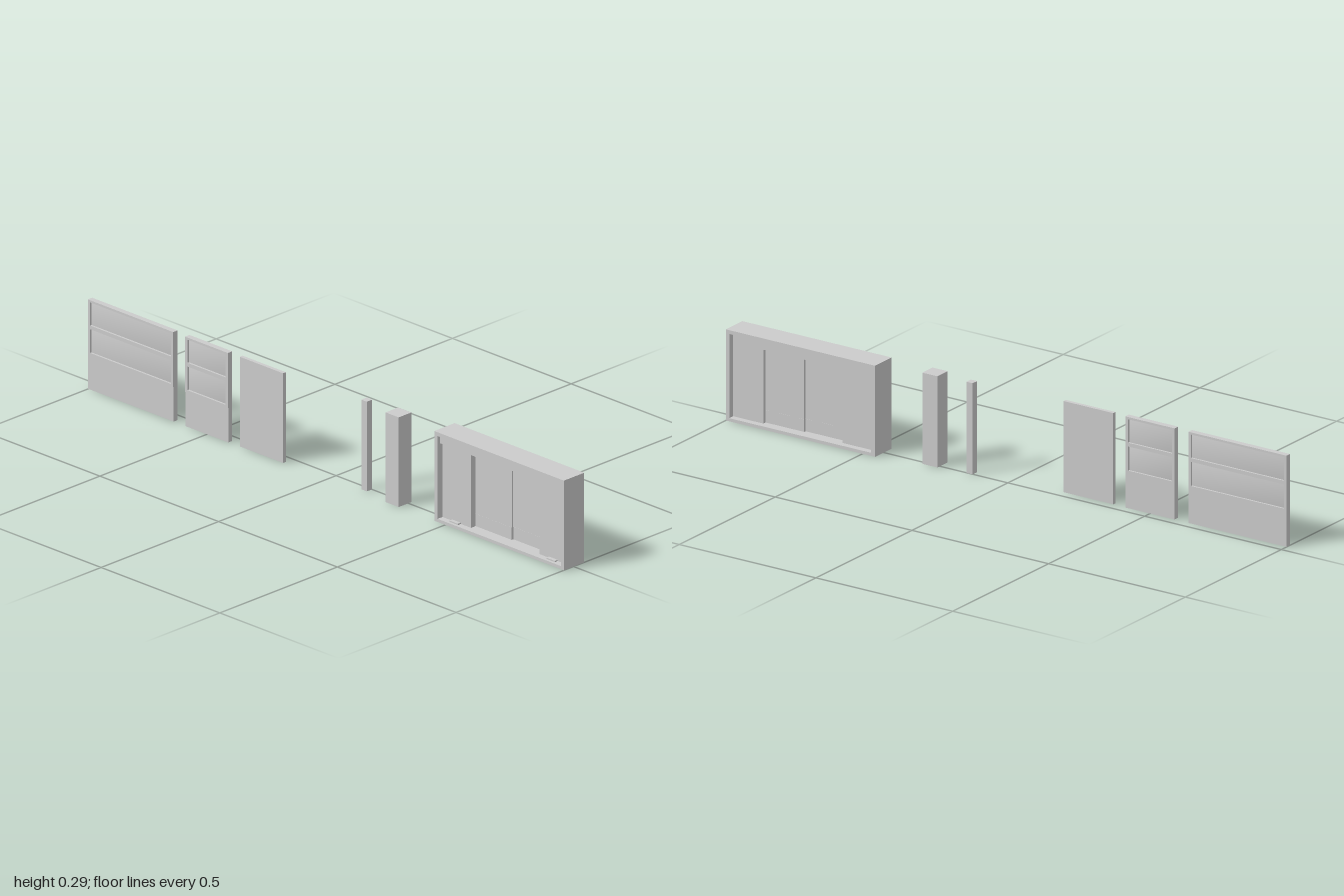
import * as THREE from 'three';
import { mergeVertices } from 'three/addons/utils/BufferGeometryUtils.js';

const grey = new THREE.MeshStandardMaterial({ color: 0xcccccc });

function add(parent, name, geometry) {
  const mesh = new THREE.Mesh(geometry, grey);
  mesh.name = name;
  parent.add(mesh);
  return mesh;
}

// Box given by its limits on each axis
function boxGeometry([x0, x1], [y0, y1], [z0, z1]) {
  return new THREE.BoxGeometry(x1 - x0, y1 - y0, z1 - z0)
    .translate((x0 + x1) / 2, (y0 + y1) / 2, (z0 + z1) / 2);
}

function rect(Type, [x0, x1], [y0, y1]) {
  const path = new Type();
  path.moveTo(x0, y0);
  path.lineTo(x1, y0);
  path.lineTo(x1, y1);
  path.lineTo(x0, y1);
  path.closePath();
  return path;
}

// Upright slab with rectangular openings
function slabGeometry(xs, ys, [z0, z1], openings) {
  const shape = rect(THREE.Shape, xs, ys);
  for (const [ox, oy] of openings) shape.holes.push(rect(THREE.Path, ox, oy));
  return new THREE.ExtrudeGeometry(shape, { depth: z1 - z0, bevelEnabled: false })
    .translate(0, 0, z0);
}

// Pane with normals averaged round its corners for a soft gradient
function paneGeometry(xs, ys, zs) {
  const geometry = boxGeometry(xs, ys, zs);
  geometry.deleteAttribute('normal');
  geometry.deleteAttribute('uv');
  const merged = mergeVertices(geometry);
  merged.computeVertexNormals();
  return merged;
}

function windowPanel(name, x0, x1) {
  const group = new THREE.Group();
  group.name = name;
  const inner = [x0 + 0.01, x1 - 0.01];
  const rows = [[0.12, 0.197], [0.209, 0.284]];
  add(group, 'lowerPanel', boxGeometry([x0, x1], [0, 0.112], [0.028, 0.0445]));
  add(group, 'windowFrame',
    slabGeometry([x0, x1], [0.112, 0.291], [0.028, 0.0465], rows.map((r) => [inner, r])));
  for (const row of rows) add(group, 'windowPane', paneGeometry(inner, row, [0.034, 0.040]));
  return group;
}

function entrance() {
  const group = new THREE.Group();
  group.name = 'entrance';
  const inX = [0.468, 0.987], inY = [0.01, 0.279];
  const doorX = [0.588, 0.877], doorY = [0.01, 0.246];
  // Deep outer surround and the recessed wall inside it
  add(group, 'outerFrame',
    slabGeometry([0.454, 1.0], [0, 0.291], [-0.0455, 0.041], [[inX, inY]]));
  // Wall outline stops at the sill, with the doorway cut up from below
  const wall = new THREE.Shape([
    [inX[0], inY[0]], [doorX[0], inY[0]], [doorX[0], doorY[1]], [doorX[1], doorY[1]],
    [doorX[1], inY[0]], [inX[1], inY[0]], [inX[1], inY[1]], [inX[0], inY[1]],
  ].map(([x, y]) => new THREE.Vector2(x, y)));
  add(group, 'recessedWall',
    new THREE.ExtrudeGeometry(wall, { depth: 0.045, bevelEnabled: false }).translate(0, 0, -0.025));
  add(group, 'headerBoard', boxGeometry(inX, [0.252, inY[1]], [0.02, 0.03]));
  // Pair of overlapping sliding doors with low rails
  const middle = 0.738;
  const leaves = [[doorX[0], middle + 0.002, 0], [middle - 0.002, doorX[1], -0.007]];
  for (const [x0, x1, z] of leaves) {
    add(group, 'slidingDoor', boxGeometry([x0, x1], doorY, [z - 0.006, z]));
    add(group, 'doorRail', boxGeometry([x0, x1], [doorY[0], 0.05], [z - 0.0065, z + 0.0005]));
  }
  // Small stops on the sill
  for (const x of [0.527, 0.935]) {
    add(group, 'sillStop', boxGeometry([x - 0.018, x + 0.018], [0.01, 0.014], [0.02, 0.032]));
  }
  return group;
}

export function createModel() {
  const model = new THREE.Group();
  model.name = 'shopfrontKit';
  model.add(windowPanel('wideWindowPanel', -1.0, -0.64));
  model.add(windowPanel('narrowWindowPanel', -0.59, -0.41));
  add(model, 'plainPanel', boxGeometry([-0.364, -0.182], [0, 0.291], [0.03, 0.042]));
  add(model, 'slimPost', boxGeometry([0.128, 0.151], [0, 0.291], [-0.001, 0.022]));
  add(model, 'thickPost', boxGeometry([0.249, 0.304], [0, 0.291], [-0.013, 0.041]));
  model.add(entrance());
  return model;
}
